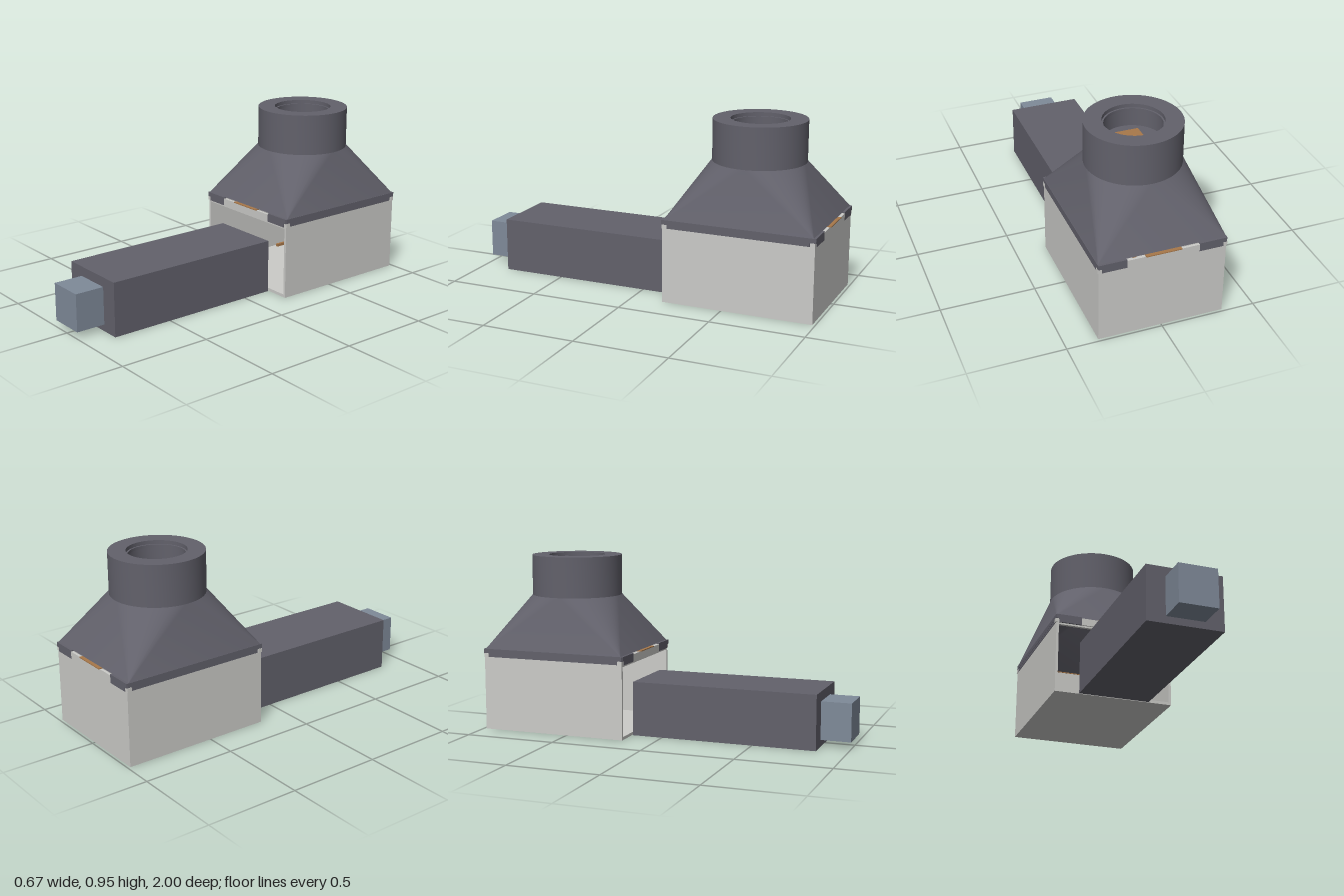
import * as THREE from 'three';
import { toCreasedNormals } from 'three/addons/utils/BufferGeometryUtils.js';

const mat = (name, color) => {
  const m = new THREE.MeshStandardMaterial({ color });
  m.name = name;
  return m;
};

export function createModel() {
  const model = new THREE.Group();
  const dark = mat('dark grey', 0x62616b);
  dark.side = THREE.DoubleSide;
  const light = mat('pale grey', 0xcbcbc8);
  const blue = mat('steel blue', 0x7f8a99);
  const amber = mat('amber brown', 0xa8784a);
  const CZ = -0.578; // centre of the chamber

  const add = (parent, name, geometry, material) => {
    const mesh = new THREE.Mesh(geometry, material);
    mesh.name = name;
    parent.add(mesh);
    return mesh;
  };
  // box given by its limits on each axis
  const box = (parent, name, material, x0, x1, y0, y1, z0, z1) => {
    const m = add(parent, name, new THREE.BoxGeometry(x1 - x0, y1 - y0, z1 - z0), material);
    m.position.set((x0 + x1) / 2, (y0 + y1) / 2, (z0 + z1) / 2);
    return m;
  };

  // long housing and the block at its end
  box(model, 'housing', dark, -0.198, 0.198, 0, 0.292, -0.165, 0.84);
  box(model, 'endBlock', blue, -0.1, 0.1, 0.037, 0.24, 0.84, 1);

  // chamber, open at the front
  const chamber = new THREE.Group();
  chamber.name = 'chamber';
  model.add(chamber);
  box(chamber, 'floor', light, -0.332, 0.332, 0, 0.016, -0.985, -0.172);
  box(chamber, 'backWall', light, -0.332, 0.332, 0.016, 0.42, -0.985, -0.969);
  box(chamber, 'frontLip', light, -0.318, 0.318, 0.39, 0.435, -0.19, -0.174);
  for (const s of [-1, 1]) {
    const x = s * 0.325;
    box(chamber, 'sideWall', light, x - 0.007, x + 0.007, 0.016, 0.42, -0.969, -0.172);
    for (const z of [-0.975, -0.181])
      box(chamber, 'cornerClip', light, s * 0.326 - 0.011, s * 0.326 + 0.011, 0.4, 0.422, z - 0.011, z + 0.011);
  }

  // hood: four corner fans and four flat triangles from rectangle to circle
  const hood = new THREE.Group();
  hood.name = 'hood';
  hood.position.z = CZ;
  model.add(hood);
  const corners = [[1, 1], [-1, 1], [-1, -1], [1, -1]].map(([a, b]) => [a * 0.333, 0.445, b * 0.4]);
  const R = 0.247, N = 16, pos = [];
  const top = (i) => {
    const a = (i / N) * Math.PI / 2;
    return [R * Math.cos(a), 0.73, R * Math.sin(a)];
  };
  for (let q = 0; q < 4; q++) {
    for (let i = 0; i < N; i++) pos.push(...corners[q], ...top(q * N + i), ...top(q * N + i + 1));
    pos.push(...corners[q], ...top((q + 1) * N), ...corners[(q + 1) % 4]);
  }
  const loft = new THREE.BufferGeometry();
  loft.setAttribute('position', new THREE.Float32BufferAttribute(pos, 3));
  loft.computeVertexNormals();
  add(hood, 'taperedHood', toCreasedNormals(loft, 0.35), dark);

  // collar with a stepped bore and a closed bottom
  const profile = [[R, 0.73], [R, 0.95], [0.155, 0.95], [0.155, 0.93], [0.146, 0.93],
    [0.146, 0.915], [0.152, 0.915], [0.152, 0.83], [0, 0.83]].map(([x, y]) => new THREE.Vector2(x, y));
  add(hood, 'collar', toCreasedNormals(new THREE.LatheGeometry(profile, 64), 0.5), dark);
  box(hood, 'sensorPlate', amber, -0.065, 0.065, 0.83, 0.836, -0.1, 0.097);

  // rim, notched at front and back, with a tab and latch in each notch
  for (const s of [-1, 1]) {
    box(hood, 'sideRim', dark, s * 0.327 - 0.008, s * 0.327 + 0.008, 0.421, 0.446, -0.408, 0.408);
    box(hood, 'sideRimEdge', dark, s * 0.329 - 0.005, s * 0.329 + 0.005, 0.402, 0.421, -0.38, 0.38);
    for (const e of [-1, 1]) {
      const z = s * 0.404;
      box(hood, 'endRim', dark, e * 0.2515 - 0.0635, e * 0.2515 + 0.0635, 0.4, 0.446, z - 0.008, z + 0.008);
      box(hood, 'endRimCorner', dark, e * 0.324 - 0.009, e * 0.324 + 0.009, 0.422, 0.446, z - 0.008, z + 0.008);
    }
    const tz = s * 0.405;
    box(hood, 'notchTab', light, -0.188, 0.188, 0.4, 0.44, tz - 0.007, tz + 0.007);
    box(hood, 'latch', amber, -0.093, 0.093, 0.44, 0.445, s * 0.407 - 0.012, s * 0.407 + 0.012);
  }

  // thin post and cross rail inside the chamber
  const post = add(model, 'post', new THREE.CylinderGeometry(0.007, 0.007, 0.374, 16), amber);
  post.position.set(0, 0.203, -0.635);
  box(model, 'rail', amber, -0.007, 0.007, 0.155, 0.17, -0.68, -0.4);

  return model;
}
